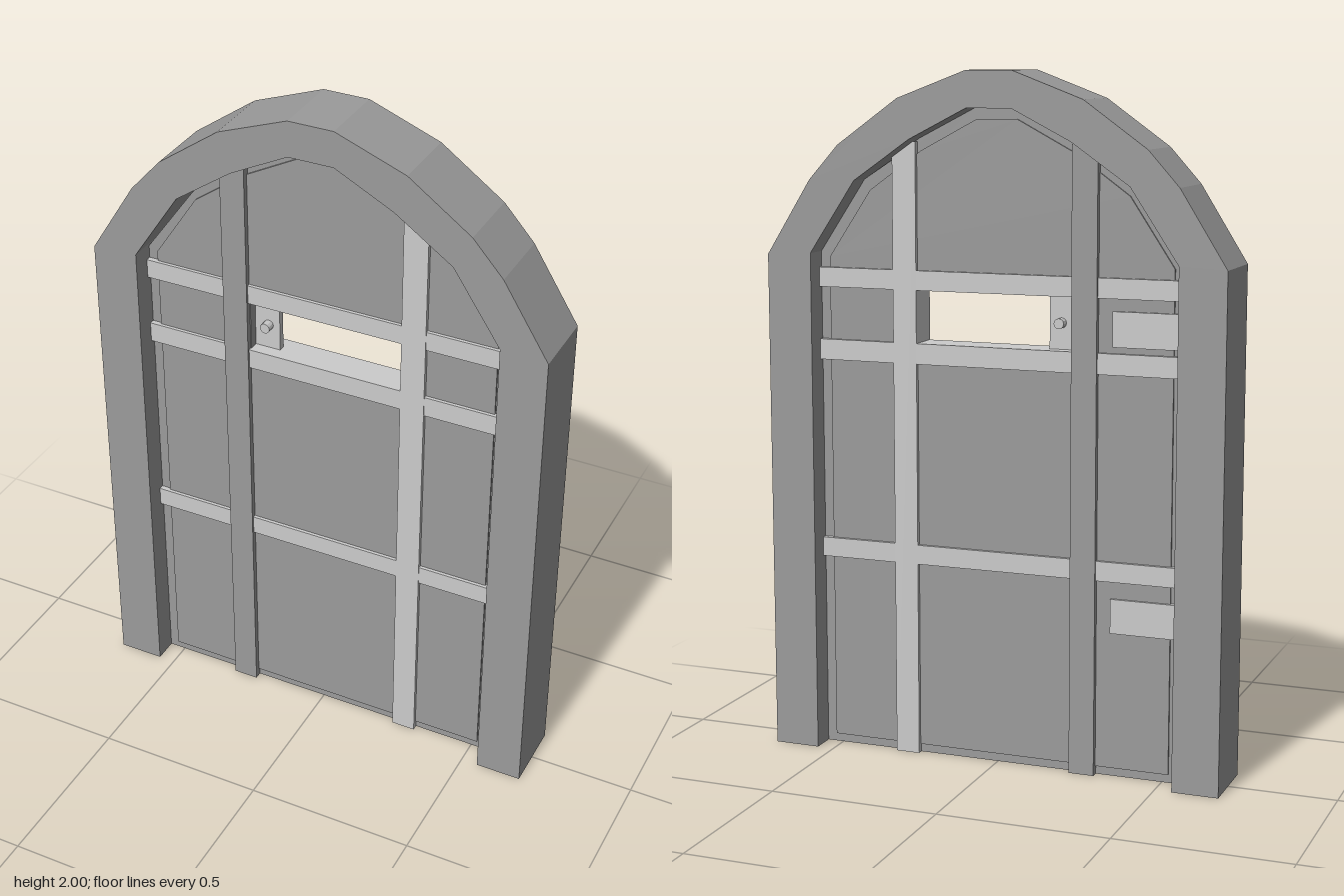
import * as THREE from 'three';

const grey = (color) => new THREE.MeshStandardMaterial({ color, flatShading: true, side: THREE.DoubleSide });
const dark = grey(0x9b9b9b);
const light = grey(0xcccccc);

export function createModel() {
  const door = new THREE.Group();
  door.name = 'archedDoor';

  const add = (name, geometry, material) => {
    const mesh = new THREE.Mesh(geometry, material);
    mesh.name = name;
    door.add(mesh);
    return mesh;
  };
  // Box given by its limits on each axis
  const box = (name, material, x0, x1, y0, y1, z0, z1) =>
    add(name, new THREE.BoxGeometry(x1 - x0, y1 - y0, z1 - z0), material)
      .position.set((x0 + x1) / 2, (y0 + y1) / 2, (z0 + z1) / 2);
  // Right half of an outline, mirrored to the left
  const mirrored = (half) => [...half, ...half.map(([x, y]) => [-x, y]).reverse()];
  const points = (list) => list.map(([x, y]) => new THREE.Vector2(x, y));
  // Upright slab from an outline, with optional holes, centred on z = 0
  const slab = (outline, depth, holes = []) => {
    const shape = new THREE.Shape(points(outline));
    shape.holes = holes.map((hole) => new THREE.Path(points(hole)));
    return new THREE.ExtrudeGeometry(shape, { depth, bevelEnabled: false }).translate(0, 0, -depth / 2);
  };

  // Arched frame, open at the bottom
  const outer = mirrored([[0.686, 0], [0.686, 1.473], [0.55, 1.69], [0.46, 1.79], [0.275, 1.922], [0.067, 2]]);
  const inner = mirrored([[0.55, 0], [0.55, 1.48], [0.41, 1.69], [0.24, 1.808], [0.067, 1.896]]);
  add('frame', slab([...outer, ...inner.reverse()], 0.21), dark);

  // Door panel with a viewing slot; its arch fits loosely on one side
  const slot = [[-0.225, 1.222], [-0.225, 1.38], [0.245, 1.38], [0.245, 1.222]];
  const panel = [
    [0.55, 0], [0.55, 1.48], [0.41, 1.69], [0.31, 1.755], [0.24, 1.808], [0.067, 1.896],
    [-0.067, 1.896], [-0.23, 1.808], [-0.36, 1.715], [-0.4, 1.68], [-0.55, 1.473], [-0.55, 0],
  ];
  add('panelEdge', slab(panel, 0.064, [slot]), dark);

  // Slightly thicker middle of the panel
  const middle = mirrored([[0.52, 0.025], [0.52, 1.465], [0.39, 1.66], [0.23, 1.775], [0.06, 1.865]]);
  add('panelMiddle', slab(middle, 0.076, [slot]), dark);

  // Horizontal and vertical bars, standing just proud of both faces
  for (const [y0, y1] of [[0.575, 0.632], [1.165, 1.225], [1.378, 1.435]])
    box('crossBar', light, -0.555, 0.555, y0, y1, -0.048, 0.048);
  box('leftUpright', light, 0.244, 0.316, 0, 1.8, -0.05, 0.05);
  box('rightUpright', dark, -0.302, -0.227, 0, 1.8, -0.055, 0.055);

  // Shutter plate at the end of the slot, with a knob through it
  box('shutter', light, -0.228, -0.148, 1.222, 1.38, -0.01, 0.01);
  add('shutterKnob', new THREE.CylinderGeometry(0.015, 0.015, 0.07, 12).rotateX(Math.PI / 2), light)
    .position.set(-0.183, 1.3, 0);

  // Hinge plates on the back
  for (const y of [0.475, 1.293])
    box('hinge', light, -0.557, -0.345, y - 0.05, y + 0.05, -0.046, 0);

  return door;
}
